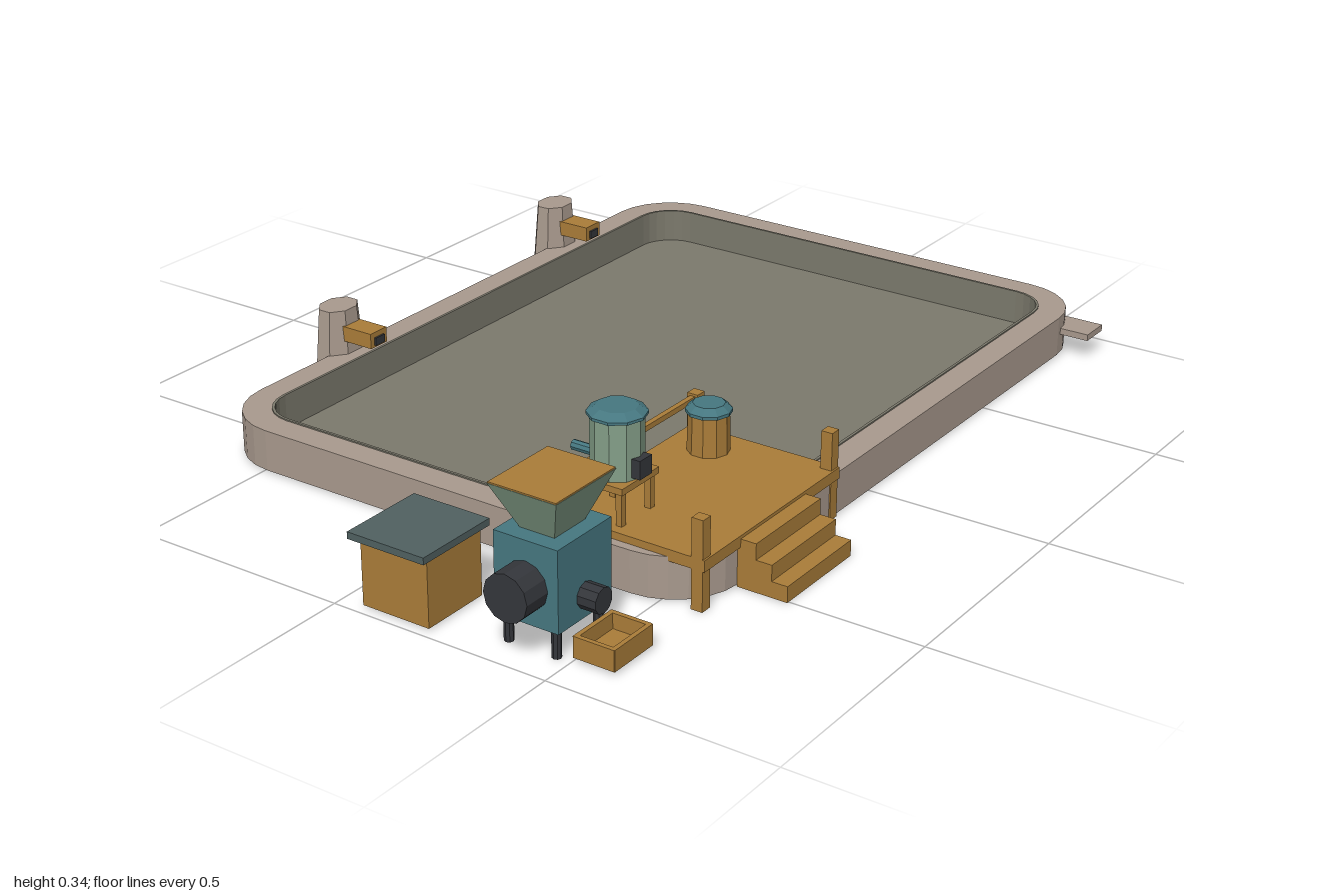
import * as THREE from 'three';

const mat = (name, color) => {
  const m = new THREE.MeshStandardMaterial({ color });
  m.name = name;
  return m;
};

export function createModel() {
  const model = new THREE.Group();
  model.name = 'basinWithPumpStation';
  const stone = mat('stone', 0xa8998d);
  const lining = mat('basin lining', 0x7b796c);
  const wood = mat('wood', 0xa97c39);
  const teal = mat('teal metal', 0x467780);
  const green = mat('pale green metal', 0x849f88);
  const dark = mat('dark metal', 0x34363b);
  const slate = mat('slate lid', 0x506060);

  const add = (name, geo, material, x = 0, y = 0, z = 0, parent = model) => {
    const mesh = new THREE.Mesh(geo, material);
    mesh.name = name;
    mesh.position.set(x, y, z);
    parent.add(mesh);
    return mesh;
  };
  // Box given by its limits on each axis
  const box = (name, material, [x0, x1], [y0, y1], [z0, z1], parent) =>
    add(name, new THREE.BoxGeometry(x1 - x0, y1 - y0, z1 - z0), material,
      (x0 + x1) / 2, (y0 + y1) / 2, (z0 + z1) / 2, parent);
  // Faceted drum standing on its base
  const drum = (rTop, rBottom, h, sides, turn = 0) => {
    let g = new THREE.CylinderGeometry(rTop, rBottom, h, sides);
    g.rotateY(turn).translate(0, h / 2, 0);
    g = g.toNonIndexed();
    g.computeVertexNormals();
    return g;
  };
  const group = (name, x = 0, y = 0, z = 0) => {
    const g = new THREE.Group();
    g.name = name;
    g.position.set(x, y, z);
    model.add(g);
    return g;
  };

  // Basin: rounded rectangle walls, lining and floor
  const roundRect = (inset, Type = THREE.Shape) => {
    const w = 0.825 - inset, d = 0.615 - inset, r = 0.15 - inset * 0.95, s = new Type();
    s.absarc(w - r, d - r, r, 0, Math.PI / 2);
    s.absarc(-w + r, d - r, r, Math.PI / 2, Math.PI);
    s.absarc(-w + r, -d + r, r, Math.PI, Math.PI * 1.5);
    s.absarc(w - r, -d + r, r, Math.PI * 1.5, Math.PI * 2);
    s.closePath();
    return s;
  };
  const slab = (outer, inner, h) => {
    const s = roundRect(outer);
    if (inner) s.holes.push(roundRect(inner, THREE.Path));
    const g = new THREE.ExtrudeGeometry(s, { depth: h, bevelEnabled: false, curveSegments: 3 });
    return g.rotateX(-Math.PI / 2);
  };
  add('basinWall', slab(0, 0.064, 0.092), stone, 0.175, 0.004, -0.025);
  add('basinLining', slab(0.062, 0.068, 0.08), lining, 0.175, 0.019, -0.025);
  add('basinFloor', slab(0.01, 0, 0.02), lining, 0.175, 0, -0.025);
  box('overflowLedge', stone, [0.865, 0.94], [0.05, 0.065], [0.555, 0.657]);

  // Stone pillars with wooden spouts at the back
  for (const x of [-0.222, 0.585]) {
    const pillar = group('spoutPillar', x, 0, -0.655);
    const g = drum(0.051, 0.07, 0.197, 8, Math.PI / 8);
    g.scale(1, 1, 0.78);
    g.computeVertexNormals();
    add('pillar', g, stone, 0, 0, 0, pillar);
    box('spout', wood, [-0.027, 0.027], [0.127, 0.162], [0, 0.115], pillar);
    box('spoutMouth', dark, [-0.015, 0.015], [0.132, 0.15], [0.11, 0.12], pillar);
  }

  // Wooden deck with posts, rail and steps
  const deck = group('deck');
  box('deckBoards', wood, [-0.63, -0.14], [0.087, 0.112], [0.238, 0.597], deck);
  for (const x of [-0.617, -0.153])
    for (const z of [0.257, 0.58])
      box('deckPost', wood, [x - 0.013, x + 0.013], [0, 0.195], [z - 0.013, z + 0.013], deck);
  box('backRail', wood, [-0.63, -0.14], [0.178, 0.19], [0.251, 0.263], deck);
  for (let i = 0; i < 3; i++)
    box('step', wood, [-0.505, -0.27], [0.035 * i, 0.035 * (i + 1)], [0.59, 0.704 - 0.036 * i], deck);

  // Tall tank on a raised stand
  const tank = group('tank', -0.552, 0, 0.342);
  box('standTop', wood, [-0.062, 0.062], [0.183, 0.197], [-0.055, 0.055], tank);
  for (const x of [-0.048, 0.048])
    for (const z of [-0.042, 0.042])
      box('standLeg', wood, [x - 0.007, x + 0.007], [0.11, 0.185], [z - 0.007, z + 0.007], tank);
  add('tankBody', drum(0.054, 0.054, 0.125, 10), green, 0, 0.197, 0, tank);
  add('tankRim', drum(0.061, 0.061, 0.006, 10), teal, 0, 0.32, 0, tank);
  add('tankCap', drum(0.042, 0.061, 0.012, 10), teal, 0, 0.326, 0, tank);
  box('tankValve', dark, [-0.02, 0.02], [0.203, 0.243], [0.045, 0.067], tank);
  const pipe = add('tankPipe', drum(0.011, 0.011, 0.07, 8), teal, 0, 0.225, -0.035, tank);
  pipe.rotation.x = -Math.PI / 2;

  // Small barrel on the deck
  const barrel = group('barrel', -0.222, 0.11, 0.335);
  add('barrelBody', drum(0.043, 0.045, 0.09, 10), wood, 0, 0, 0, barrel);
  add('barrelRim', drum(0.049, 0.049, 0.007, 10), teal, 0, 0.088, 0, barrel);
  add('barrelCap', drum(0.034, 0.049, 0.013, 10), teal, 0, 0.095, 0, barrel);

  // Feed machine: body, legs, hopper, motor and outlet
  const machine = group('feedMachine', -0.855, 0, 0.412);
  box('machineBody', teal, [-0.083, 0.083], [0.06, 0.232], [-0.073, 0.073], machine);
  for (const x of [-0.065, 0.065])
    for (const z of [-0.055, 0.055])
      add('machineLeg', drum(0.01, 0.01, 0.062, 8), dark, x, 0, z, machine);
  const hopper = drum(Math.SQRT1_2, Math.SQRT1_2 * 0.5, 0.098, 4, Math.PI / 4);
  hopper.scale(0.184, 1, 0.156);
  hopper.computeVertexNormals();
  add('hopper', hopper, green, 0, 0.23, 0, machine);
  box('hopperFeed', wood, [-0.091, 0.091], [0.326, 0.331], [-0.077, 0.077], machine);
  const motor = add('motor', drum(0.05, 0.05, 0.07, 12), dark, -0.075, 0.14, 0, machine);
  motor.rotation.z = Math.PI / 2;
  const outlet = add('outlet', drum(0.027, 0.027, 0.05, 10), dark, 0, 0.107, 0.065, machine);
  outlet.rotation.x = Math.PI / 2;

  // Open tray below the outlet
  const tray = group('tray', -0.855, 0.008, 0.547);
  box('trayBase', wood, [-0.06, 0.06], [0, 0.012], [-0.046, 0.046], tray);
  for (const s of [-1, 1]) {
    const side = box('traySide', wood, [-0.005, 0.005], [0, 0.045], [-0.046, 0.046], tray);
    side.position.x = s * 0.056;
    const end = box('trayEnd', wood, [-0.06, 0.06], [0, 0.045], [-0.005, 0.005], tray);
    end.position.z = s * 0.042;
  }

  // Storage crate with slate lid
  box('crate', wood, [-0.98, -0.82], [0.005, 0.15], [0.055, 0.215]);
  box('crateLid', slate, [-1, -0.803], [0.15, 0.165], [0.04, 0.224]);

  return model;
}
